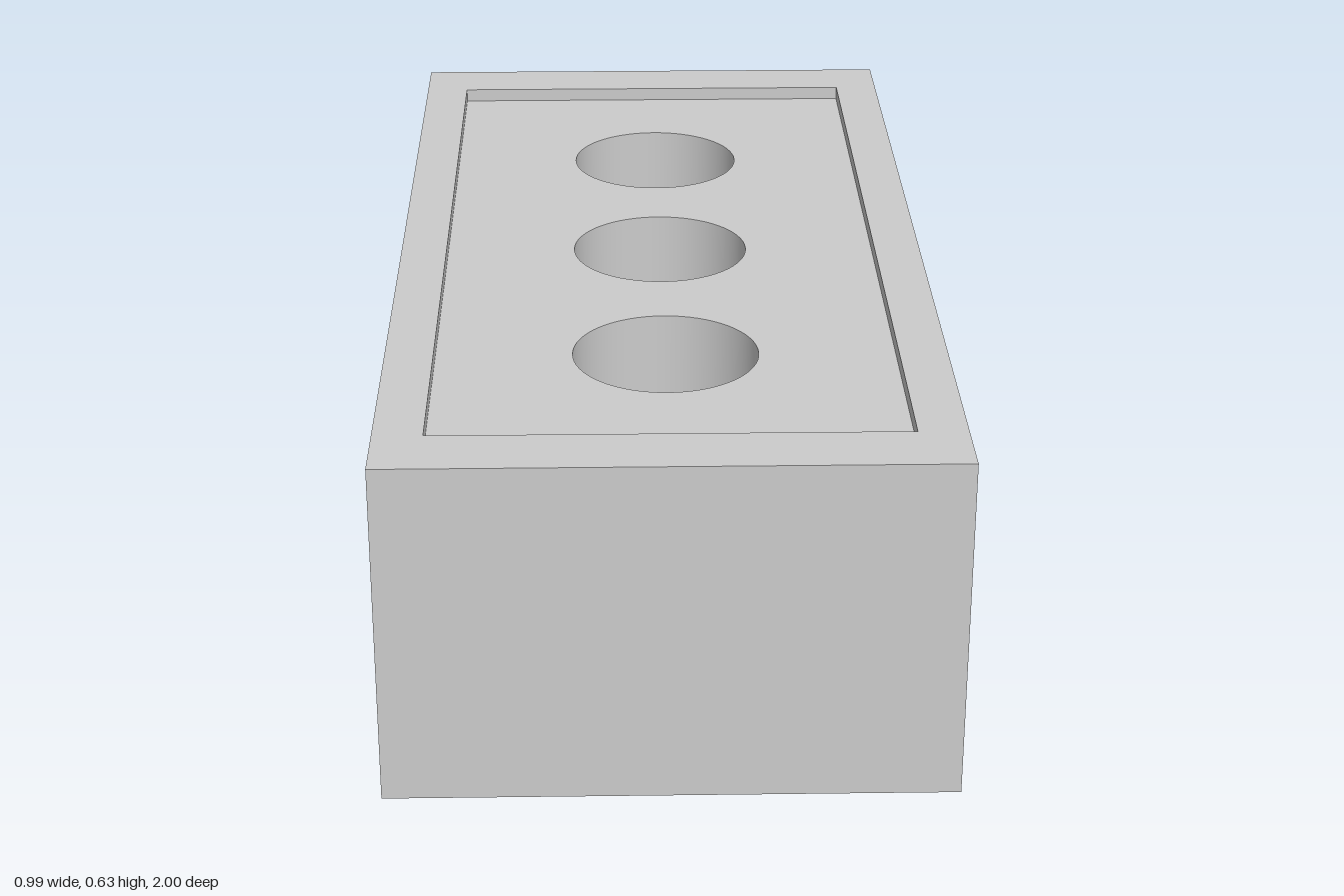
import * as THREE from 'three';
import { mergeGeometries } from 'three/addons/utils/BufferGeometryUtils.js';

const HX = 0.496, HZ = 1, H = 0.628;        // brick half width, half length, height
const RX = 0.41, RZ = 0.877, DEPTH = 0.026; // recessed panel
const HOLE_R = 0.166, HOLE_Z = [-0.495, 0, 0.495];

// Four upright walls round a rectangle; dir 1 faces outward, -1 inward
function walls(hx, hz, y0, y1, dir) {
  const sides = [];
  for (let i = 0; i < 4; i++) {
    const [half, dist] = i % 2 ? [hz, hx] : [hx, hz];
    sides.push(new THREE.PlaneGeometry(half * 2, y1 - y0)
      .translate(0, (y0 + y1) / 2, dist * dir)
      .rotateY(i * Math.PI / 2));
  }
  return mergeGeometries(sides);
}

function rectangle(hx, hz) {
  return new THREE.Shape([[-hx, -hz], [hx, -hz], [hx, hz], [-hx, hz]].map(p => new THREE.Vector2(...p)));
}

// Flat horizontal face; dir 1 faces up, -1 down
function cap(shape, y, dir) {
  return new THREE.ShapeGeometry(shape, 32).rotateX(-dir * Math.PI / 2).translate(0, y, 0);
}

export function createModel() {
  const group = new THREE.Group();
  group.name = 'brick';
  const material = new THREE.MeshStandardMaterial({ color: 0xcccccc });
  const add = (name, geometry) => {
    const mesh = new THREE.Mesh(geometry, material);
    mesh.name = name;
    group.add(mesh);
    return mesh;
  };

  const rim = rectangle(HX, HZ);
  rim.holes.push(rectangle(RX, RZ));
  const panel = rectangle(RX, RZ);
  for (const z of HOLE_Z) panel.holes.push(new THREE.Path().absarc(0, z, HOLE_R, 0, Math.PI * 2, true));

  add('outerWalls', walls(HX, HZ, 0, H, 1));

  // Matching rim and recessed panel on top and bottom
  for (const [side, y, dir] of [['top', H, 1], ['bottom', 0, -1]]) {
    const floor = y - dir * DEPTH;
    add(side + 'Rim', cap(rim, y, dir));
    add(side + 'RecessWalls', walls(RX, RZ, Math.min(y, floor), Math.max(y, floor), -1));
    add(side + 'Panel', cap(panel, floor, dir));
  }

  // Through holes: profile runs downward so the surface faces the axis
  const bore = new THREE.LatheGeometry([
    new THREE.Vector2(HOLE_R, H - DEPTH),
    new THREE.Vector2(HOLE_R, DEPTH),
  ], 64);
  HOLE_Z.forEach((z, i) => { add('throughHole' + (i + 1), bore).position.z = z; });

  return group;
}
